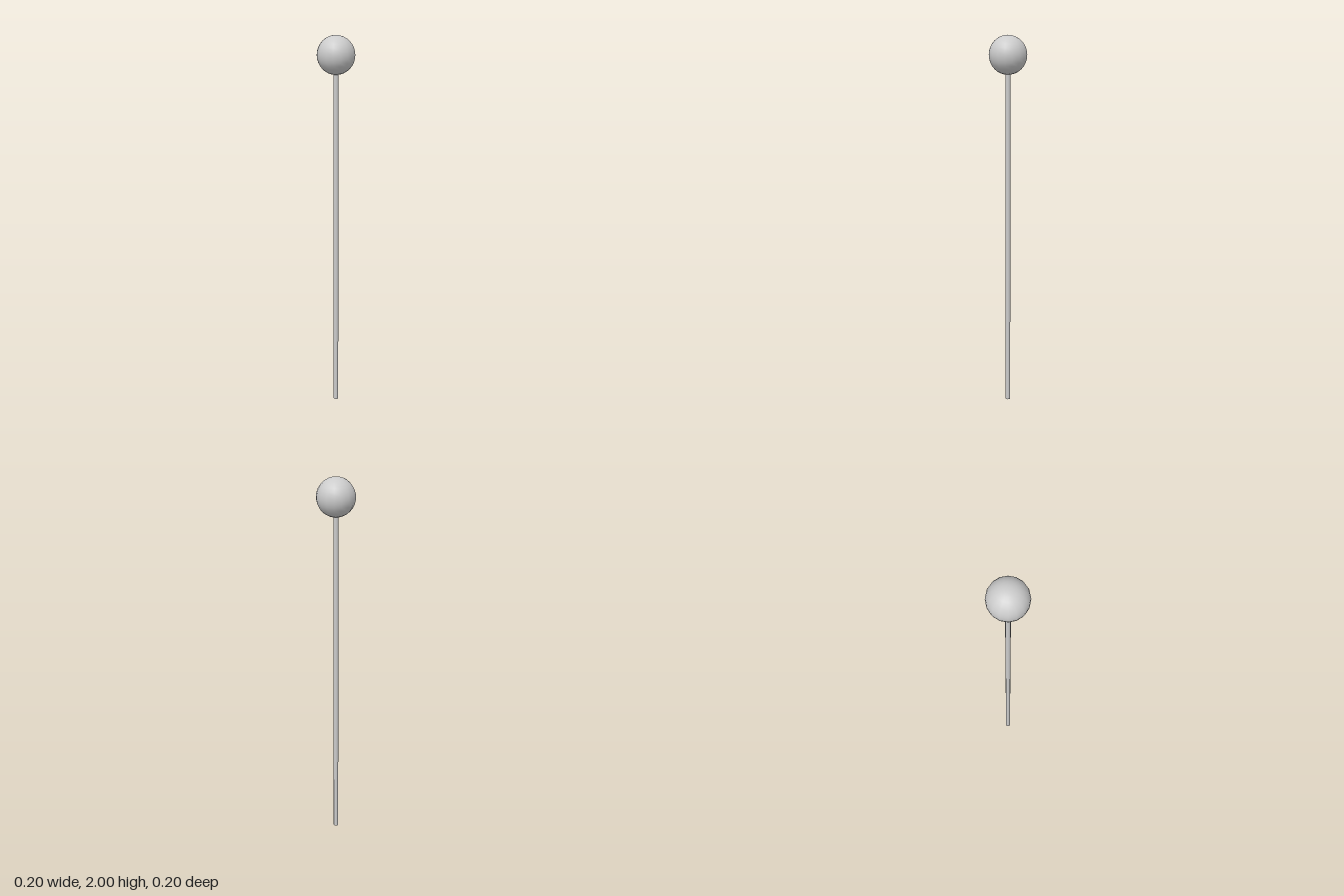
import * as THREE from 'three';

export function createModel() {
  const group = new THREE.Group();
  group.name = 'ballHeadedPin';
  const material = new THREE.MeshStandardMaterial({ color: 0xcccccc });
  const ballRadius = 0.098;
  const ballCentre = 2 - ballRadius;

  // Round head
  const head = new THREE.Mesh(new THREE.SphereGeometry(ballRadius, 16, 16), material);
  head.name = 'head';
  head.position.y = ballCentre;

  // Thin straight shaft, its top end sunk into the head
  const shaftLength = ballCentre - ballRadius * 0.8;
  const shaft = new THREE.Mesh(new THREE.CylinderGeometry(0.013, 0.013, shaftLength, 12), material);
  shaft.name = 'shaft';
  shaft.position.y = shaftLength / 2;

  group.add(head, shaft);
  return group;
}
